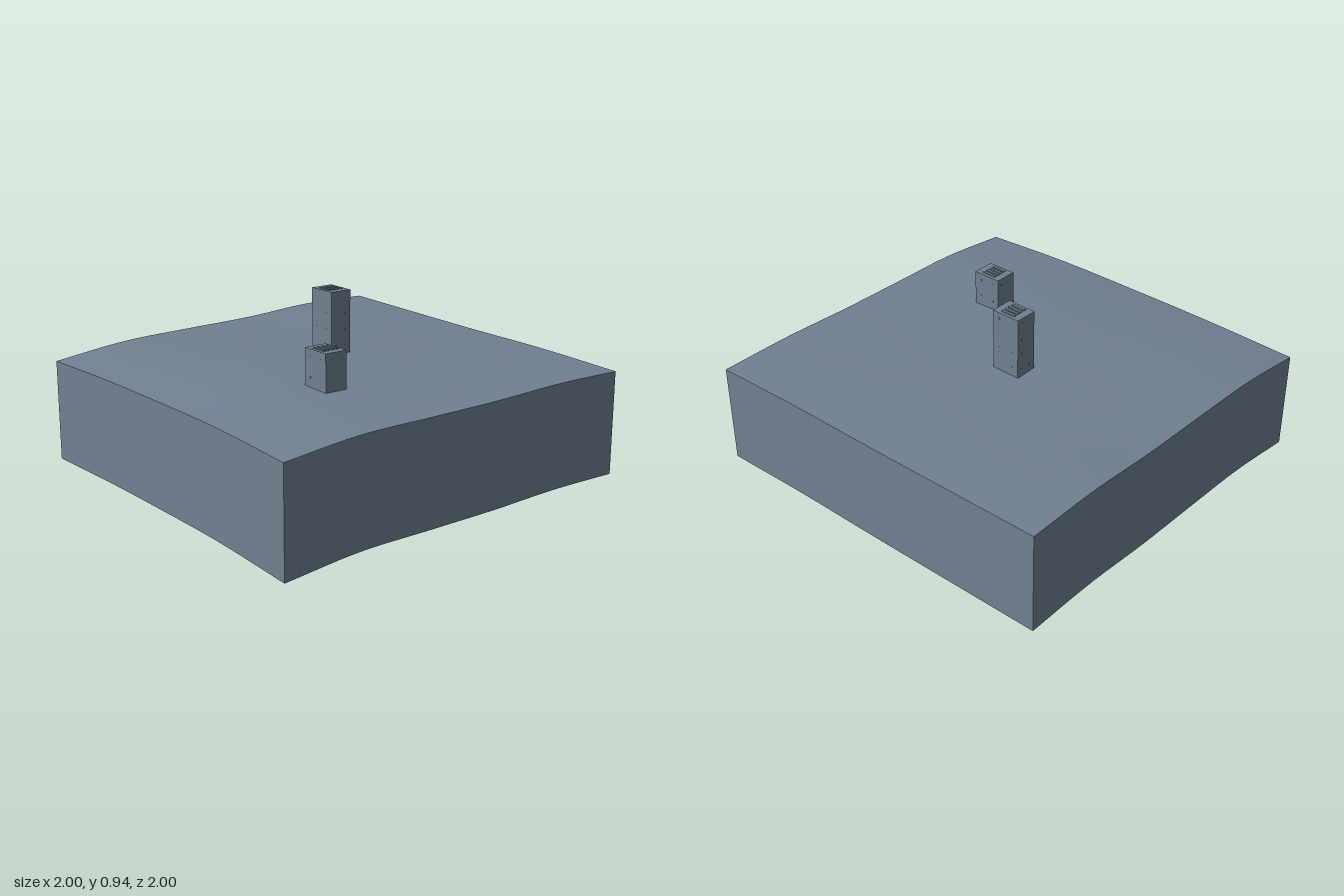
import * as THREE from 'three';

const SKIRT = 0.53;

// Ground heights: rows run z = -1..1, columns run x = -1..1
const HEIGHTS = [
  [0.540, 0.585, 0.597, 0.605, 0.627, 0.622],
  [0.555, 0.598, 0.606, 0.605, 0.614, 0.613],
  [0.560, 0.606, 0.620, 0.612, 0.612, 0.605],
  [0.558, 0.597, 0.603, 0.599, 0.603, 0.601],
  [0.535, 0.573, 0.576, 0.579, 0.590, 0.585],
];

// Smooth curve through evenly spaced values, t in 0..1
function smooth(values, t) {
  const n = values.length - 1;
  const at = (i) => i < 0 ? 2 * values[0] - values[1] : i > n ? 2 * values[n] - values[n - 1] : values[i];
  const i = Math.min(n - 1, Math.max(0, Math.floor(t * n)));
  const f = t * n - i;
  const [a, b, c, d] = [at(i - 1), at(i), at(i + 1), at(i + 2)];
  return b + 0.5 * f * (c - a + f * (2 * a - 5 * b + 4 * c - d + f * (3 * (b - c) + d - a)));
}

function groundHeight(x, z) {
  return smooth(HEIGHTS.map((row) => smooth(row, (x + 1) / 2)), (z + 1) / 2);
}

export function createModel() {
  const model = new THREE.Group();
  model.name = 'terrainWithTowers';
  const slate = new THREE.MeshStandardMaterial({ color: 0x708090, side: THREE.DoubleSide });
  slate.name = 'slate grey';

  const add = (parent, name, geometry, x = 0, y = 0, z = 0) => {
    const mesh = new THREE.Mesh(geometry, slate);
    mesh.name = name;
    mesh.position.set(x, y, z);
    parent.add(mesh);
  };

  // Rolling ground surface
  const ground = new THREE.PlaneGeometry(2, 2, 50, 50).rotateX(-Math.PI / 2);
  const p = ground.attributes.position;
  for (let i = 0; i < p.count; i++) p.setY(i, groundHeight(p.getX(i), p.getZ(i)));
  ground.computeVertexNormals();
  add(model, 'ground', ground);

  // Four side walls hanging a constant depth below the ground edge, open underneath
  ['frontWall', 'leftWall', 'backWall', 'rightWall'].forEach((name, k) => {
    const wall = new THREE.PlaneGeometry(2, 1, 50, 1).translate(0, 0, 1).rotateY(k * Math.PI / 2);
    const q = wall.attributes.position;
    for (let i = 0; i < q.count; i++) {
      const drop = q.getY(i) < 0 ? SKIRT : 0;
      q.setY(i, groundHeight(q.getX(i), q.getZ(i)) - drop);
    }
    add(model, name, wall);
  });

  // Towers with rooftop vents and small windows
  const W = 0.12, D = 0.158;
  const addTower = (name, x, z, top, floors) => {
    const tower = new THREE.Group();
    tower.name = name;
    tower.position.set(x, 0, z);
    model.add(tower);
    const base = groundHeight(x, z) - 0.008;
    add(tower, 'towerBody', new THREE.BoxGeometry(W, top - base, D), 0, (top + base) / 2, 0);
    for (let i = 0; i < 4; i++) {
      add(tower, 'roofVent', new THREE.BoxGeometry(0.014, 0.006, 0.08), -0.036 + i * 0.024, top + 0.002, 0);
    }
    for (let f = 0; f < floors; f++) {
      const y = base + (top - base) * (f + 0.6) / floors;
      for (const side of [-1, 1]) {
        for (const s of [-1, 1]) {
          add(tower, 'window', new THREE.BoxGeometry(0.01, 0.012, 0.002), s * 0.03, y, side * D / 2);
          add(tower, 'window', new THREE.BoxGeometry(0.002, 0.012, 0.01), side * W / 2, y, s * 0.04);
        }
      }
    }
  };
  addTower('shortTower', -0.338, 0.417, 0.79, 2);
  addTower('tallTower', 0.08, -0.083, 0.936, 4);

  return model;
}
